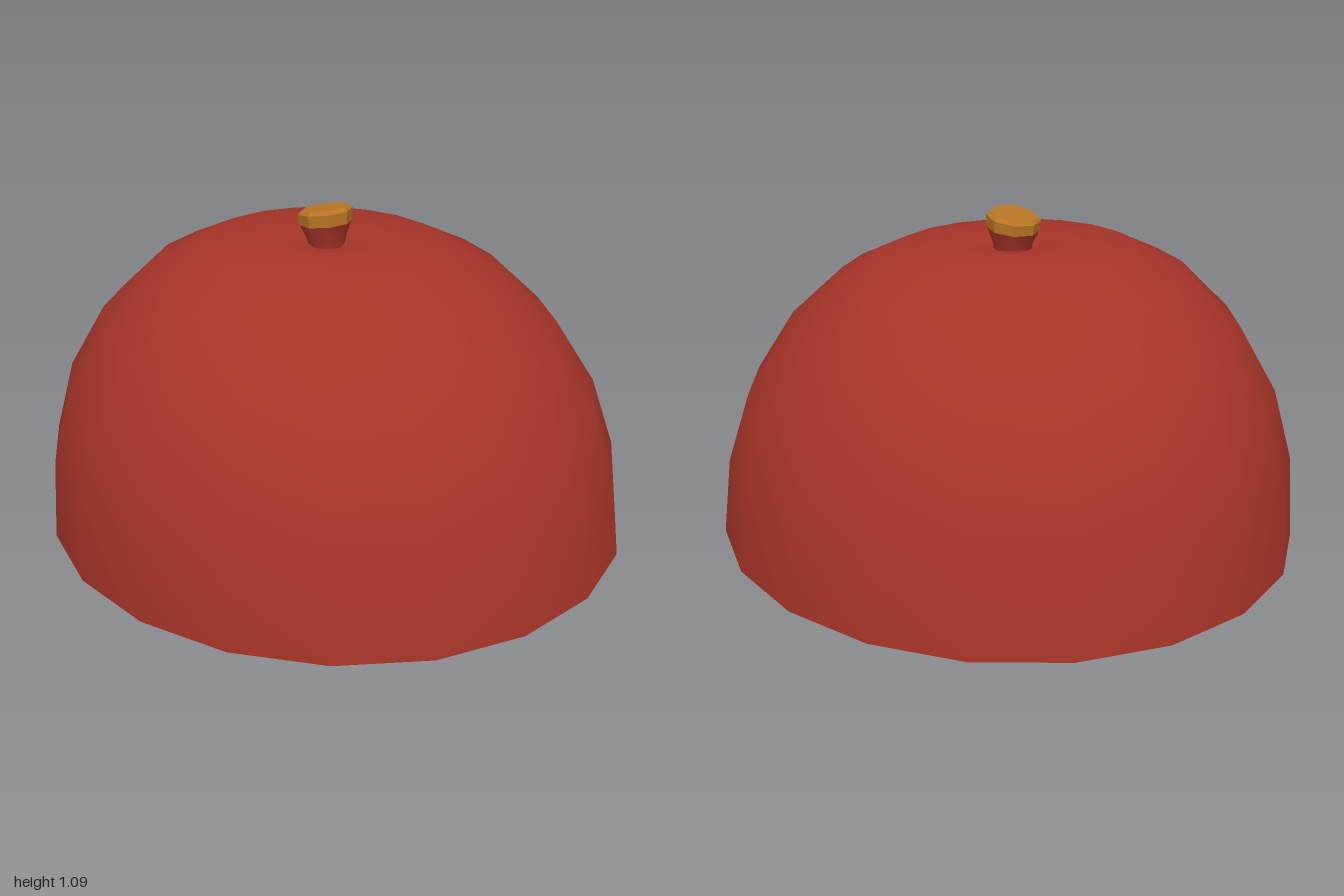
import * as THREE from 'three';
import { mergeVertices } from 'three/addons/utils/BufferGeometryUtils.js';

const SIDES = 20;
const DEPTH = 0.945; // the cut face is slightly narrower in z

function material(name, color, flatShading = false) {
  const m = new THREE.MeshStandardMaterial({ color, flatShading });
  m.name = name;
  return m;
}

function part(name, geometry, mat) {
  const mesh = new THREE.Mesh(geometry, mat);
  mesh.name = name;
  return mesh;
}

// Move every vertex by a rule, then rebuild the normals
function warp(geometry, rule) {
  const p = geometry.attributes.position;
  const v = new THREE.Vector3();
  for (let i = 0; i < p.count; i++) {
    rule(v.fromBufferAttribute(p, i));
    p.setXYZ(i, v.x, v.y, v.z);
  }
  geometry.computeVertexNormals();
  return geometry;
}

function lathe(points, sides) {
  const g = new THREE.LatheGeometry(points.map(([r, y]) => new THREE.Vector2(r, y)), sides);
  g.deleteAttribute('uv');
  g.deleteAttribute('normal');
  return mergeVertices(g, 1e-4);
}

// Flat shape facing down at height y
function faceDown(geometry, y) {
  return geometry.rotateX(Math.PI / 2).scale(1, 1, DEPTH).translate(0, y, 0);
}

export function createModel() {
  const group = new THREE.Group();
  group.name = 'halfFruit';

  const red = material('skinRed', 0xa63428);
  const cream = material('pithCream', 0xc89a61);
  const brown = material('fleshBrown', 0xcd732e);
  const olive = material('segmentOlive', 0xb98514);
  const orange = material('stemOrange', 0xb87525, true);

  // Domed skin with a dimple at the top, leaning a little
  const dome = lathe([
    [1, 0], [0.972, 0.265], [0.895, 0.5], [0.76, 0.71], [0.58, 0.875],
    [0.4, 0.958], [0.2, 0.982], [0.09, 0.965], [0, 0.93],
  ], SIDES);
  warp(dome, (v) => {
    const { x, y, z } = v;
    const zScale = DEPTH + 0.05 * y * y;
    v.set(x - 0.018 * y, y * (1 - 0.018 * x + 0.01 * z), z * zScale + 0.02 * y);
  });
  group.add(part('skin', dome, red));

  // Cut face: skin rim, pith and flesh
  group.add(part('cutRim', faceDown(new THREE.RingGeometry(0.885, 1, SIDES, 1), 0), red));
  group.add(part('pith', faceDown(new THREE.CircleGeometry(0.89, SIDES), 0.004), cream));
  group.add(part('flesh', faceDown(new THREE.CircleGeometry(0.68, 32), 0.002), brown));

  // Teardrop segments around the centre
  const angles = [95, 68, 42, 22, 3, -16, -37, -64, -95, -121, -145, -162, 180, 153, 136, 117];
  const segments = new THREE.Group();
  segments.name = 'segments';
  angles.forEach((deg, i) => {
    const a = THREE.MathUtils.degToRad(deg);
    const tip = 0.775 + 0.02 * Math.sin(i * 2.3);
    const w = Math.abs(Math.sin(a)) > 0.75 ? 0.14 : 0.115;
    const s = new THREE.Shape();
    s.moveTo(0.04, 0);
    s.bezierCurveTo(0.25, w * 0.7, 0.45, w, 0.62, w);
    s.bezierCurveTo(0.72, w, tip, w * 0.6, tip, 0);
    s.bezierCurveTo(tip, -w * 0.6, 0.72, -w, 0.62, -w);
    s.bezierCurveTo(0.45, -w, 0.25, -w * 0.7, 0.04, 0);
    const x = Math.sin(a) - Math.cos(a);
    const z = -Math.cos(a) - Math.sin(a);
    const g = new THREE.ShapeGeometry(s, 6).rotateZ(Math.atan2(z, x));
    segments.add(part('segment', faceDown(g, 0), olive));
  });
  group.add(segments);

  // Stem: red foot and a tilted orange cap
  const lean = (v) => {
    const t = (v.y - 0.93) / 0.14;
    v.set(v.x - 0.022 - 0.006 * t, v.y + 0.17 * v.x * t, v.z + 0.01);
  };
  const foot = lathe([[0.055, 0.92], [0.065, 0.975], [0.086, 1.025]], 8);
  group.add(part('stemFoot', warp(foot, lean), red));
  const cap = lathe([[0, 1.02], [0.086, 1.022], [0.089, 1.06], [0.077, 1.072], [0, 1.072]], 8);
  group.add(part('stemCap', warp(cap, lean), orange));

  return group;
}
